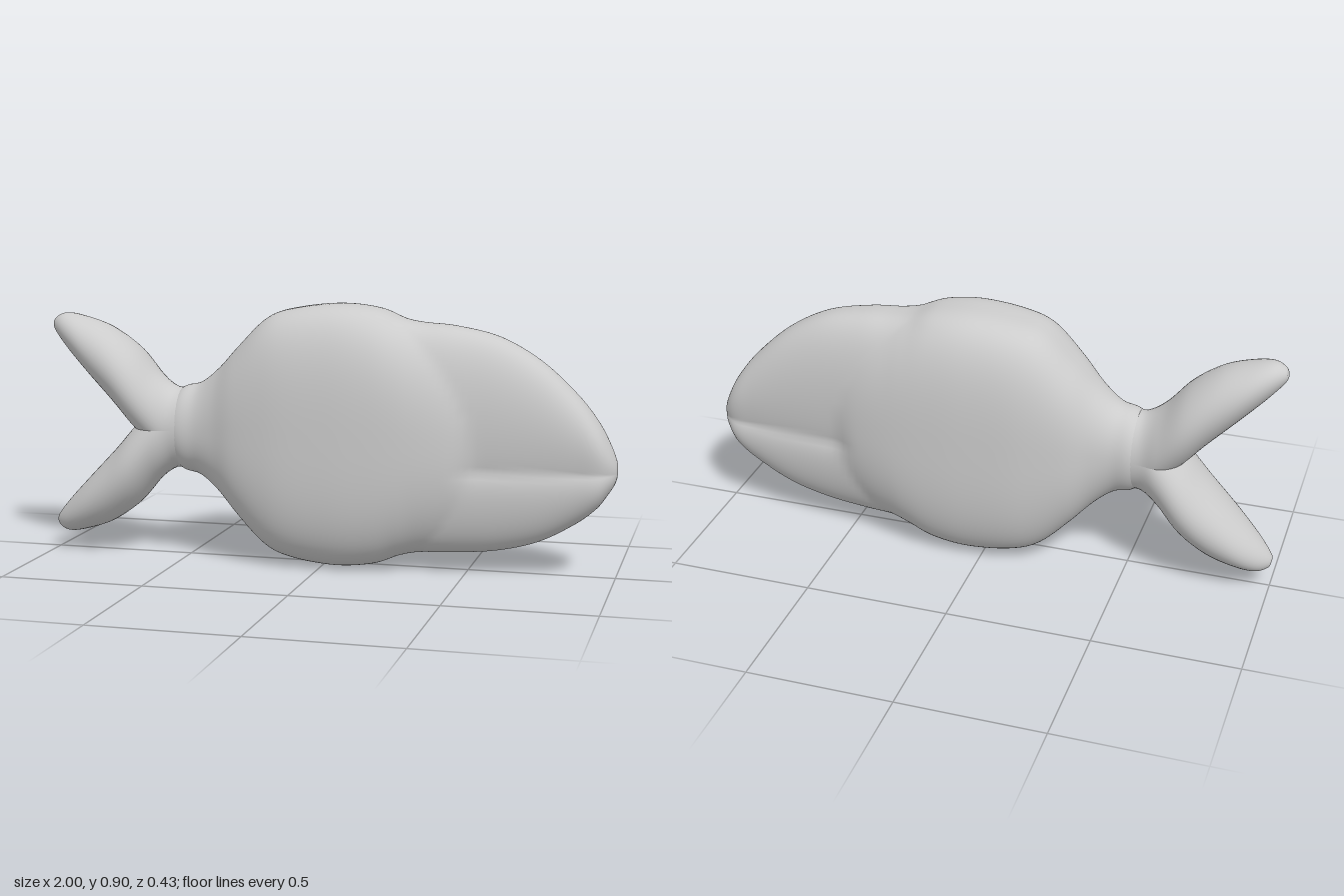
import * as THREE from 'three';

const V = (x, y, z) => new THREE.Vector3(x, y, z);

// Smooth loft along +x. Section: [topX, topY, bottomX, bottomY, halfThickness, exponent]
function loft(sections, rings, sides, rule = (x, y, w) => w) {
  const top = new THREE.CatmullRomCurve3(sections.map(s => V(s[0], s[1], s[4])), false, 'catmullrom', 0.5);
  const low = new THREE.CatmullRomCurve3(sections.map(s => V(s[2], s[3], s[5])), false, 'catmullrom', 0.5);
  const pos = [], index = [];
  for (let i = 0; i <= rings; i++) {
    const a = top.getPoint(i / rings), b = low.getPoint(i / rings);
    const w = Math.max(a.z, 0), n = b.z;
    for (let j = 0; j < sides; j++) {
      const t = j / sides * Math.PI * 2, c = Math.cos(t), s = Math.sin(t);
      const r = 1 / Math.pow(Math.abs(c) ** n + Math.abs(s) ** n, 1 / n);
      const k = (1 + c * r) / 2;
      const x = b.x + (a.x - b.x) * k, y = b.y + (a.y - b.y) * k;
      pos.push(x, y, rule(x, y, w) * s * r);
      if (i < rings) {
        const p = i * sides + j, q = i * sides + (j + 1) % sides;
        index.push(p, q, p + sides, q, q + sides, p + sides);
      }
    }
  }
  const g = new THREE.BufferGeometry();
  g.setAttribute('position', new THREE.Float32BufferAttribute(pos, 3));
  g.setIndex(index);
  g.computeVertexNormals();
  return g;
}

// Body thickness: round flank stepping down to a narrower head with a mouth groove
function flank(x, y, w) {
  if (x < 0.05) return w;
  const edge = 0.52 - 0.25 * Math.min(1, (Math.abs(y - 0.43) / 0.42) ** 2);
  const k = Math.min(1, (x - 0.05) / (edge - 0.05));
  const head = (0.1915 - 0.093 * x) / 0.215;
  let f = 1 + (head - 1) * k ** 2.2;
  const d = y - 0.36;
  const reach = THREE.MathUtils.smoothstep(x, 0.44, 0.56);
  f -= 0.1 * reach * Math.exp(-Math.abs(d) / (d > 0 ? 0.1 : 0.04));
  return w * f;
}

export function createModel() {
  const group = new THREE.Group();
  const material = new THREE.MeshStandardMaterial({ color: 0xcccccc });
  const add = (name, geometry) => {
    const mesh = new THREE.Mesh(geometry, material);
    mesh.name = name;
    group.add(mesh);
  };

  // Body and head: x, top, bottom, half thickness, roundness
  const body = [
    [-0.61, 0.455, 0.455, 0, 2], [-0.59, 0.52, 0.39, 0.07, 2], [-0.52, 0.598, 0.312, 0.11, 2],
    [-0.45, 0.62, 0.29, 0.115, 2.1], [-0.38, 0.675, 0.235, 0.135, 2.3], [-0.3, 0.76, 0.15, 0.17, 2.6],
    [-0.2, 0.855, 0.055, 0.195, 2.8], [-0.1, 0.888, 0.018, 0.209, 3], [0.05, 0.904, 0.001, 0.215, 3],
    [0.18, 0.891, 0.014, 0.215, 3], [0.27, 0.858, 0.047, 0.215, 3], [0.34, 0.846, 0.06, 0.215, 2.8],
    [0.45, 0.837, 0.064, 0.215, 2.7], [0.6, 0.803, 0.078, 0.215, 2.6], [0.74, 0.725, 0.115, 0.215, 2.6],
    [0.86, 0.617, 0.18, 0.215, 2.6], [0.93, 0.53, 0.235, 0.21, 2.6],
  ].map(([x, t, b, w, n]) => [x, t, x, b, w, n]);
  body.push([0.97, 0.46, 0.965, 0.28, 0.175, 2.4], [0.995, 0.4, 0.992, 0.325, 0.1, 2.2], [1, 0.36, 1, 0.36, 0, 2]);
  add('body', loft(body, 114, 112, flank));

  // Forked tail: upper lobe from tip to root, mirrored for the lower one
  const lobe = [
    [-1, 0.815, -1, 0.815, 0], [-0.993, 0.834, -0.998, 0.79, 0.025], [-0.955, 0.85, -0.945, 0.725, 0.068],
    [-0.89, 0.84, -0.855, 0.63, 0.108], [-0.79, 0.805, -0.755, 0.525, 0.135], [-0.69, 0.735, -0.69, 0.45, 0.145],
    [-0.61, 0.645, -0.61, 0.37, 0.13], [-0.55, 0.602, -0.56, 0.325, 0.113], [-0.5, 0.596, -0.5, 0.315, 0.109],
    [-0.44, 0.58, -0.44, 0.33, 0.1],
  ];
  const mirrored = lobe.map(([tx, ty, bx, by, w]) => [bx, 0.912 - by, tx, 0.912 - ty, w]);
  add('upperTailLobe', loft(lobe.map(s => [...s, 2]), 54, 40));
  add('lowerTailLobe', loft(mirrored.map(s => [...s, 2]), 54, 40));
  return group;
}
